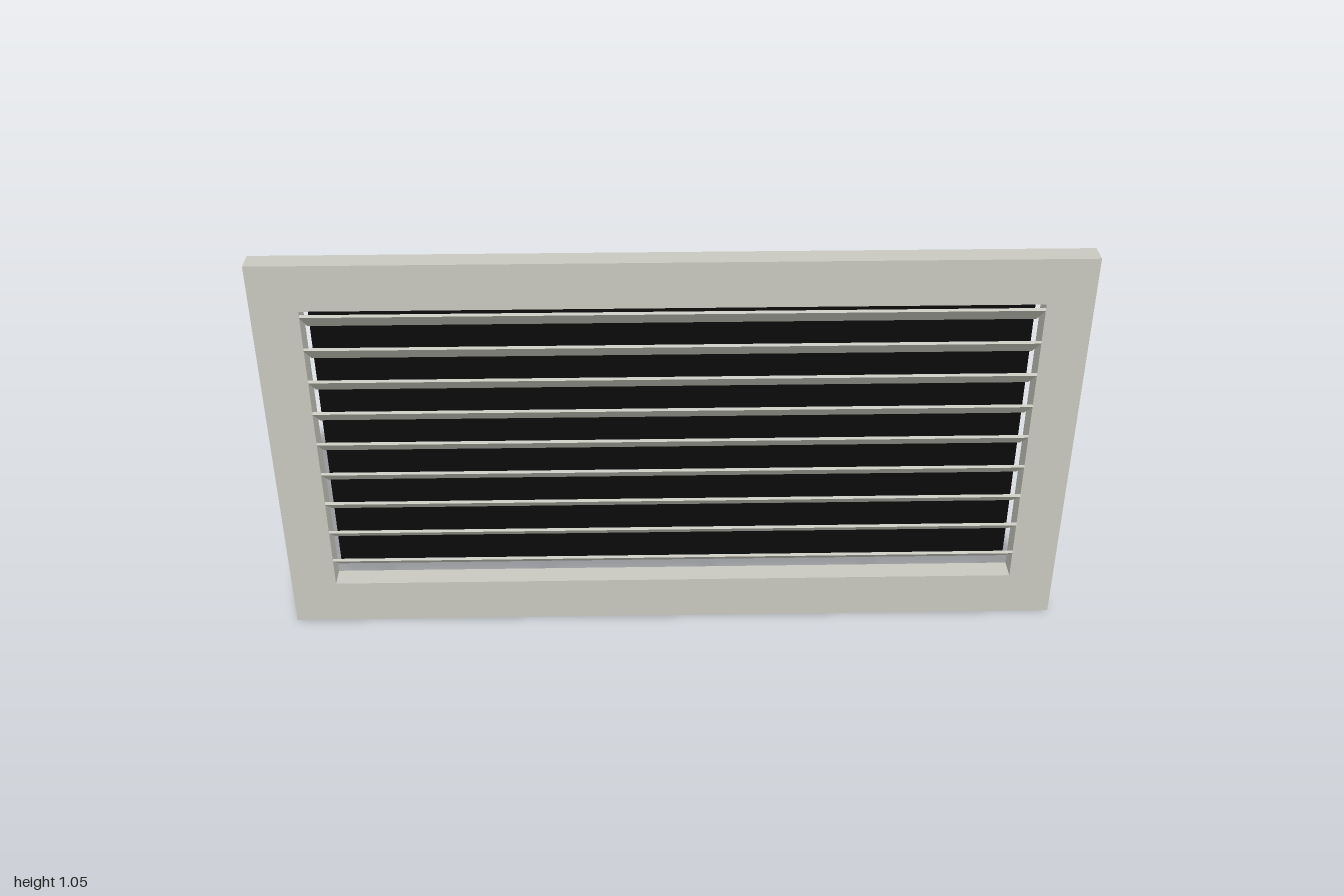
import * as THREE from 'three';

export function createModel() {
  const model = new THREE.Group();
  model.name = 'louverVent';
  const paint = new THREE.MeshStandardMaterial({ color: 0xc8c8c0 });
  paint.name = 'warm grey paint';
  const black = new THREE.MeshStandardMaterial({ color: 0x0a0a0a });
  black.name = 'black backing';

  const height = 1.05, midY = height / 2;
  const openW = 1.77, openH = 0.81;

  // Rectangular frame with the opening cut through
  const outline = new THREE.Shape([
    new THREE.Vector2(-1, 0), new THREE.Vector2(1, 0),
    new THREE.Vector2(1, height), new THREE.Vector2(-1, height),
  ]);
  const x = openW / 2, y0 = midY - openH / 2, y1 = midY + openH / 2;
  outline.holes.push(new THREE.Path([
    new THREE.Vector2(-x, y0), new THREE.Vector2(-x, y1),
    new THREE.Vector2(x, y1), new THREE.Vector2(x, y0),
  ]));
  const frame = new THREE.Mesh(
    new THREE.ExtrudeGeometry(outline, { depth: 0.055, bevelEnabled: false }), paint);
  frame.name = 'frame';
  frame.position.z = -0.002;
  model.add(frame);

  // Nine tilted slats, front edge raised
  const slats = new THREE.Group();
  slats.name = 'slats';
  const slatGeometry = new THREE.BoxGeometry(openW, 0.007, 0.1);
  for (let i = 0; i < 9; i++) {
    const slat = new THREE.Mesh(slatGeometry, paint);
    slat.name = `slat${i + 1}`;
    slat.position.set(0, midY + (i - 4) * 0.09, 0.015);
    slat.rotation.x = -THREE.MathUtils.degToRad(40);
    slats.add(slat);
  }
  model.add(slats);

  // Dark panel standing behind the slats
  const panel = new THREE.Mesh(new THREE.BoxGeometry(openW, openH, 0.009), black);
  panel.name = 'backPanel';
  panel.position.set(0, midY, -0.051);
  model.add(panel);

  return model;
}
